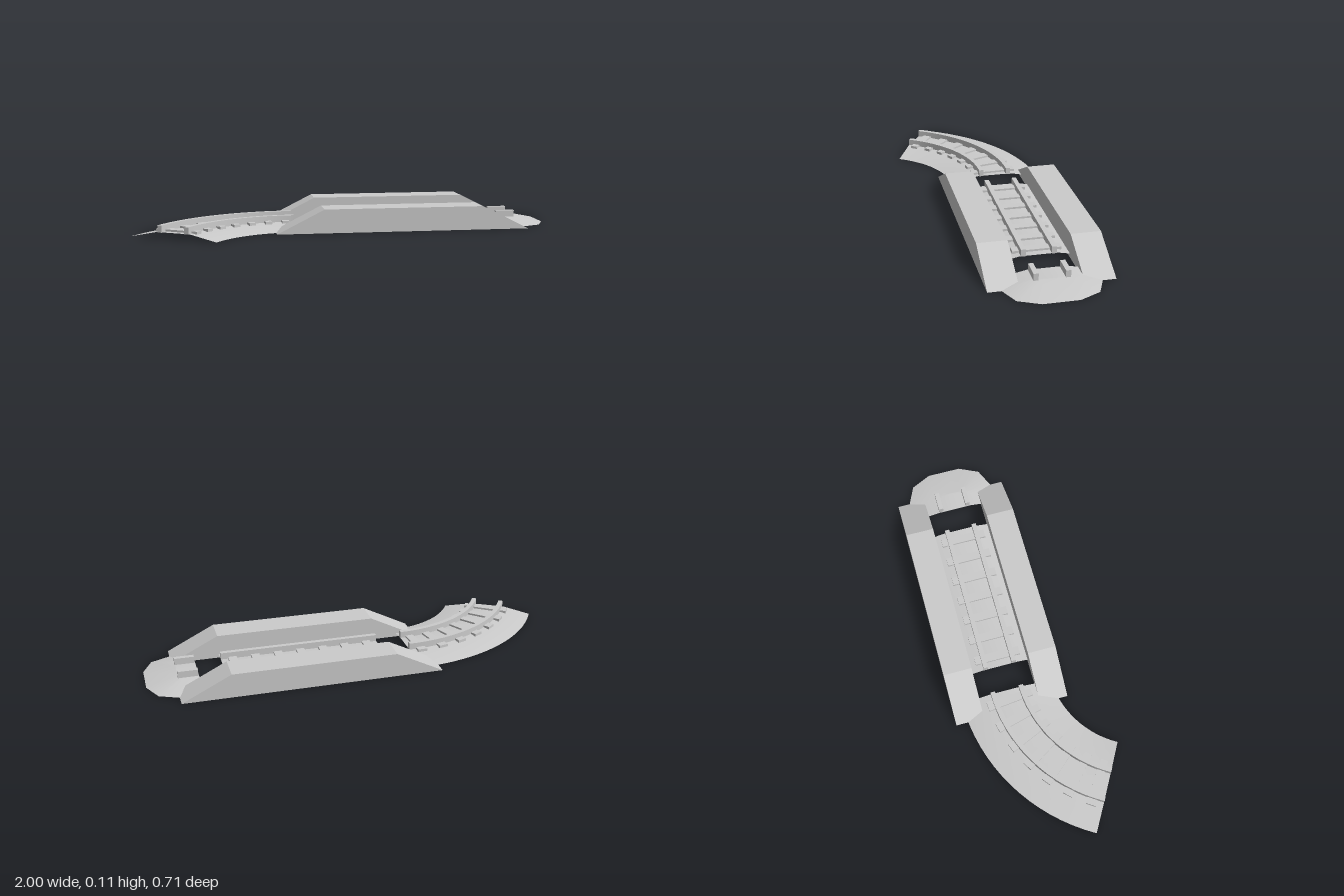
import * as THREE from 'three';
import { toCreasedNormals } from 'three/addons/utils/BufferGeometryUtils.js';

const AXIS = -0.085;                    // z of the straight track's centre line
const BED = 0.028, BED_HALF = 0.085, FOOT_HALF = 0.221;
const R = 0.656, TURN = Math.PI / 3;    // bend radius and angle
const BEND_X = -0.24, ARC = R * TURN;

const solid = new THREE.MeshStandardMaterial({ color: 0xcccccc });
const sheet = new THREE.MeshStandardMaterial({ color: 0xcccccc, side: THREE.DoubleSide });

// Moves each vertex of a geometry by a rule
function warp(geo, rule) {
  const p = geo.attributes.position, v = new THREE.Vector3();
  for (let i = 0; i < p.count; i++) {
    rule(v.fromBufferAttribute(p, i), i);
    p.setXYZ(i, v.x, v.y, v.z);
  }
  return geo;
}

// Wraps a straight run (x from -ARC to 0) round the bend
function bend(geo) {
  return warp(geo, v => {
    const a = -v.x / R, r = R - v.z;
    v.set(BEND_X - r * Math.sin(a), v.y, AXIS + R - r * Math.cos(a));
  });
}

function add(parent, name, geo, mat = solid) {
  const mesh = new THREE.Mesh(toCreasedNormals(geo, 0.35), mat);
  mesh.name = name;
  parent.add(mesh);
  return mesh;
}

// Embankment sheet between two x stations, around z = 0
function bedSheet(x0, x1, segments) {
  const profile = [[-FOOT_HALF, 0], [-BED_HALF, BED], [BED_HALF, BED], [FOOT_HALF, 0]];
  const geo = new THREE.PlaneGeometry(x1 - x0, 1, segments, 3).rotateX(-Math.PI / 2);
  return warp(geo, v => {
    const [z, y] = profile[Math.round((v.z + 0.5) * 3)];
    v.set(v.x + (x0 + x1) / 2, y, z);
  });
}

// Bar given by its x range, y range and z range
function bar(x0, x1, y0, y1, z0, z1, segments = 1) {
  return new THREE.BoxGeometry(x1 - x0, y1 - y0, z1 - z0, segments, 1, 1)
    .translate((x0 + x1) / 2, (y0 + y1) / 2, (z0 + z1) / 2);
}

// Bed, rails and sleepers of one run; place() puts the straight pieces in position
function trackRun(name, x0, x1, segments, sleepers, place, withBed = true) {
  const run = new THREE.Group();
  run.name = name;
  if (withBed) add(run, 'trackBed', place(bedSheet(x0, x1, segments)), sheet);
  for (const s of [-1, 1]) {
    add(run, 'rail', place(bar(x0, x1, 0.026, 0.059, s * 0.069 - 0.011, s * 0.069 + 0.011, segments)));
  }
  const pitch = (x1 - x0) / sleepers;
  for (let i = 0; i < sleepers; i++) {
    const x = x0 + pitch * (i + 0.5);
    add(run, 'sleeper', place(bar(x - 0.02, x + 0.02, 0.024, 0.037, -0.11, 0.11)));
  }
  return run;
}

// Sloped rounded end of the embankment, lofted from foot to bed to centre line
function endBed() {
  const foot = [[0.762, 0.221], [0.86, 0.217], [0.955, 0.175], [1, 0.08]];
  const crest = [[0.762, 0.085], [0.84, 0.085], [0.85, 0.08], [0.855, 0.04]];
  const around = half => [
    ...half.map(([x, z]) => [x, -z]),
    ...half.slice().reverse()
  ];
  const rows = [around(foot), around(crest), around(crest).map(([x]) => [x, 0])];
  const heights = [0, BED, BED];
  const geo = new THREE.PlaneGeometry(1, 1, 7, 2);
  return warp(geo, (v, i) => {
    const row = Math.floor(i / 8), [x, z] = rows[row][i % 8];
    v.set(x, heights[row], z + AXIS);
  });
}

export function createModel() {
  const model = new THREE.Group();
  model.name = 'railTrackWithPlatforms';
  const straight = geo => geo.translate(0, 0, AXIS);

  // Three track runs with gaps between them
  model.add(trackRun('curvedTrack', -ARC, 0, 16, 7, bend));
  model.add(trackRun('straightTrack', -0.115, 0.642, 1, 7, straight));
  model.add(trackRun('endTrack', 0.765, 0.857, 1, 0, straight, false));

  // Sloped end of the bed: orient the faces upward
  const end = endBed();
  end.computeVertexNormals();
  if (end.attributes.normal.getY(0) < 0) {
    const idx = end.index.array;
    for (let i = 0; i < idx.length; i += 3) [idx[i], idx[i + 1]] = [idx[i + 1], idx[i]];
  }
  add(model, 'endBed', end, sheet);

  // Platforms with ramped ends on both sides
  const side = new THREE.Shape([
    [-0.337, 0], [0.866, 0], [0.642, 0.112], [-0.115, 0.112]
  ].map(p => new THREE.Vector2(...p)));
  for (const z of [-0.359, 0.054]) {
    const geo = new THREE.ExtrudeGeometry(side, { depth: 0.136, bevelEnabled: false });
    add(model, z < 0 ? 'backPlatform' : 'frontPlatform', geo.translate(0, 0, z));
  }
  return model;
}
